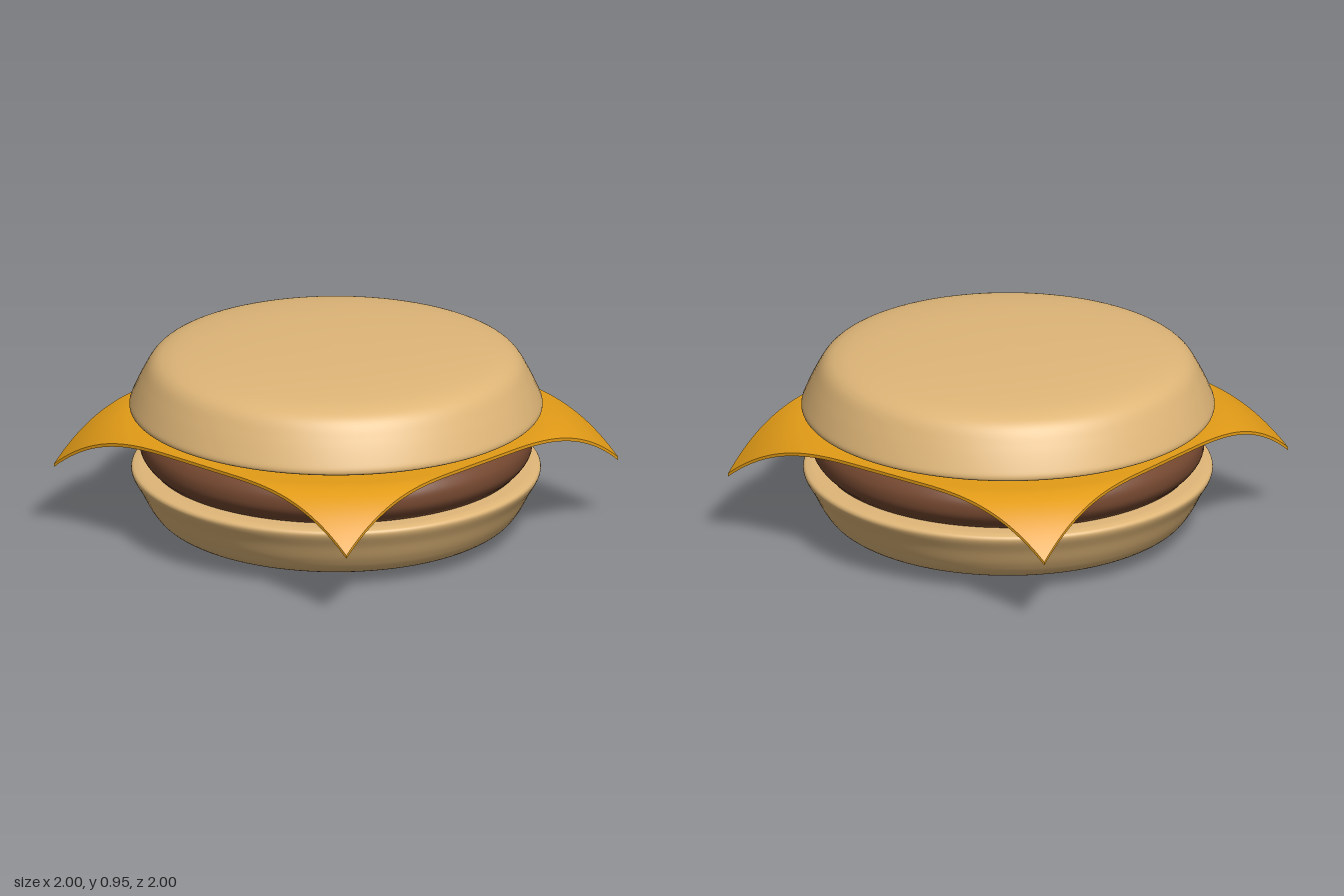
import * as THREE from 'three';

const BUN = 0xdfb678, PATTY = 0x754830, CHEESE = 0xe39c17;

// Smooth turned solid; profile runs from the bottom axis point to the top one
function turned(name, profile, color) {
  const curve = new THREE.SplineCurve(profile.map(([r, y]) => new THREE.Vector2(r, y)));
  const points = curve.getPoints(72);
  points.forEach(p => { p.x = Math.max(p.x, 0); });
  points[0].x = points[points.length - 1].x = 0;
  const mesh = new THREE.Mesh(
    new THREE.LatheGeometry(points, 96),
    new THREE.MeshStandardMaterial({ color })
  );
  mesh.name = name;
  return mesh;
}

// Thin square slice whose corners droop beyond the edge of the patty
function cheeseSlice() {
  const size = 1.93, thickness = 0.016, top = 0.576;
  const geometry = new THREE.BoxGeometry(size, thickness, size, 56, 1, 56);
  const pos = geometry.attributes.position;
  for (let i = 0; i < pos.count; i++) {
    const over = Math.max(0, Math.hypot(pos.getX(i), pos.getZ(i)) - 0.99);
    const drop = 1.5 * Math.pow(over, 1.9);
    pos.setY(i, pos.getY(i) + top - thickness / 2 - drop);
  }
  geometry.computeVertexNormals();
  const mesh = new THREE.Mesh(geometry, new THREE.MeshStandardMaterial({ color: CHEESE }));
  mesh.name = 'cheeseSlice';
  return mesh;
}

export function createModel() {
  const group = new THREE.Group();
  group.name = 'cheeseburger';

  group.add(turned('bottomBun', [
    [0, 0], [0.3, 0.004], [0.55, 0.015], [0.75, 0.042], [0.85, 0.085], [0.905, 0.15],
    [0.95, 0.235], [0.985, 0.295], [0.988, 0.322], [0.965, 0.334], [0.9, 0.338],
    [0.6, 0.338], [0, 0.338]
  ], BUN));

  group.add(turned('patty', [
    [0, 0.33], [0.5, 0.33], [0.84, 0.332], [0.9, 0.355], [0.94, 0.4], [0.95, 0.445],
    [0.94, 0.49], [0.905, 0.53], [0.84, 0.549], [0.5, 0.55], [0, 0.55]
  ], PATTY));

  group.add(cheeseSlice());

  group.add(turned('topBun', [
    [0, 0.585], [0.5, 0.587], [0.8, 0.596], [0.93, 0.607], [0.985, 0.62], [0.999, 0.638],
    [0.985, 0.68], [0.94, 0.775], [0.89, 0.855], [0.82, 0.895], [0.7, 0.918],
    [0.5, 0.936], [0.25, 0.946], [0, 0.949]
  ], BUN));

  return group;
}
